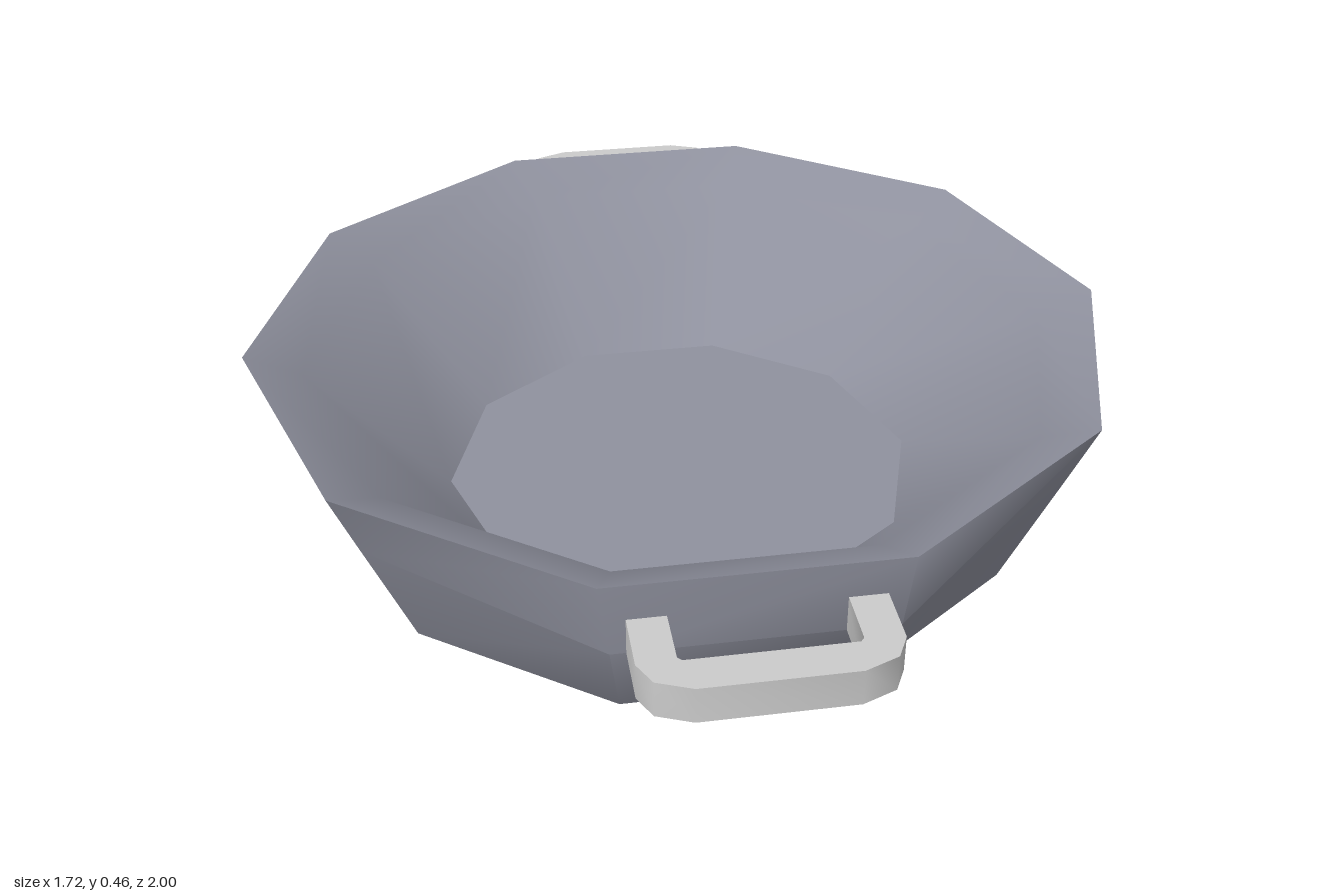
import * as THREE from 'three';
import { toCreasedNormals } from 'three/addons/utils/BufferGeometryUtils.js';

const SIDES = 10;
const CREASE = 0.75;

// Ten-sided ring with corners on the x axis
function ring(radius, y) {
  return Array.from({ length: SIDES }, (_, i) => {
    const a = (i / SIDES) * Math.PI * 2;
    return new THREE.Vector3(radius * Math.cos(a), y, radius * Math.sin(a));
  });
}

// Skin through a list of rings; smooth around, sharp at strong bends
function loft(rings) {
  const positions = rings.flat().flatMap((p) => [p.x, p.y, p.z]);
  const index = [];
  for (let j = 0; j < rings.length - 1; j++) {
    for (let i = 0; i < SIDES; i++) {
      const n = (i + 1) % SIDES;
      const a = j * SIDES + i, b = j * SIDES + n;
      const c = a + SIDES, d = b + SIDES;
      index.push(a, c, b, b, c, d);
    }
  }
  const geometry = new THREE.BufferGeometry();
  geometry.setAttribute('position', new THREE.Float32BufferAttribute(positions, 3));
  geometry.setIndex(index);
  return toCreasedNormals(geometry, CREASE);
}

// Flat ten-sided disc, facing up or down
function disc(radius, y, up) {
  const geometry = new THREE.CircleGeometry(radius, SIDES);
  geometry.rotateX(up ? -Math.PI / 2 : Math.PI / 2);
  return geometry.translate(0, y, 0);
}

// Squared grip with cut corners, open towards the bowl
function handleGeometry() {
  const half = [[0.22, 0.79], [0.22, 0.93], [0.197, 0.975], [0.135, 1]];
  const inner = [[0.145, 0.93], [0.152, 0.922], [0.152, 0.79]];
  const mirror = (pts) => pts.map(([x, z]) => [-x, z]).reverse();
  const outline = [...half, ...mirror(half), ...mirror(inner), ...inner];
  const shape = new THREE.Shape(outline.map(([x, z]) => new THREE.Vector2(x, z)));
  const geometry = new THREE.ExtrudeGeometry(shape, { depth: 0.07, bevelEnabled: false });
  geometry.rotateX(Math.PI / 2).translate(0, 0.39, 0);
  return toCreasedNormals(geometry, CREASE);
}

export function createModel() {
  const model = new THREE.Group();
  model.name = 'twoHandledBowl';
  const bowlMaterial = new THREE.MeshStandardMaterial({ color: 0x8f919e });
  const handleMaterial = new THREE.MeshStandardMaterial({ color: 0xcccccc });

  const add = (parent, name, geometry, material) => {
    const mesh = new THREE.Mesh(geometry, material);
    mesh.name = name;
    parent.add(mesh);
    return mesh;
  };

  // Outer wall: the front and back panels stand upright where the handles sit
  const middle = ring(0.803, 0.32);
  for (const p of middle) {
    if (Math.abs(p.z) > 0.7) p.z = Math.sign(p.z) * 0.818;
  }

  const bowl = new THREE.Group();
  bowl.name = 'bowl';
  model.add(bowl);
  // Foot, step, outer wall, rim and inner wall in one skin
  add(bowl, 'bowlWall', loft([
    ring(0.575, 0),
    ring(0.61, 0.07),
    ring(0.7, 0.07),
    middle,
    ring(0.86, 0.46),
    ring(0.75, 0.41),
    ring(0.48, 0.125),
  ]), bowlMaterial);
  add(bowl, 'bowlFloor', disc(0.48, 0.125, true), bowlMaterial);
  add(bowl, 'footUnderside', disc(0.575, 0, false), bowlMaterial);

  // Handles
  const grip = handleGeometry();
  add(model, 'frontHandle', grip, handleMaterial);
  add(model, 'backHandle', grip, handleMaterial).rotation.y = Math.PI;

  return model;
}
